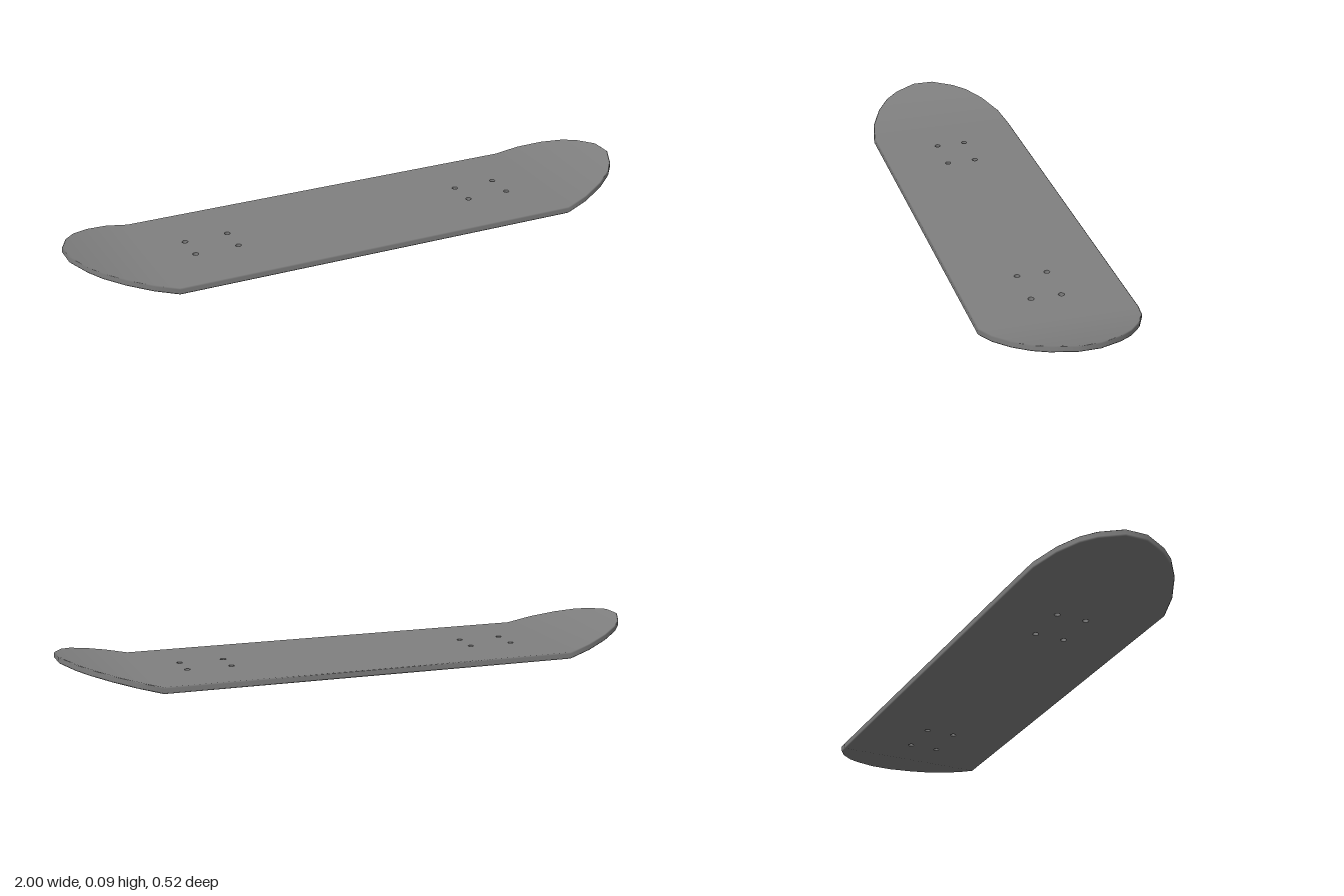
import * as THREE from 'three';
import { mergeGeometries } from 'three/addons/utils/BufferGeometryUtils.js';

const BEND = 0.71, HALF_WIDTH = 0.259, THICKNESS = 0.022, BEVEL = 0.004, SLOPE = 0.255;

// Height added by the kicked-up nose and tail
const lift = (x) => Math.max(0, Math.abs(x) - BEND) * SLOPE;

// Normal of the top (side 1) or bottom (side -1), easing smoothly into the kick
function faceNormal(x, side) {
  const tilt = -Math.sign(x) * lift(x) / (1 - BEND);
  return new THREE.Vector3(tilt, 1, 0).normalize().multiplyScalar(side).toArray();
}

// Outline of one rounded end as [x, z], from the +z side round to the -z side
const quarter = [[BEND, HALF_WIDTH], [0.79, 0.241], [0.87, 0.203], [0.93, 0.157], [0.965, 0.113], [1, 0.037]];
const rightEnd = [...quarter, ...quarter.map(([x, z]) => [x, -z]).reverse()];
const negate = (pts) => pts.map(([x, z]) => [-x, -z]);

// Pull an outline inwards, keeping the bend line in place
const inset = (pts, d) => pts.map(([x, z]) => [
  Math.sign(x) * (BEND + (Math.abs(x) - BEND) * (1 - d / (1 - BEND))),
  z * (1 - d / HALF_WIDTH),
]);

// Smooth band through closed rings, top to bottom.
// A ring with a side takes the normals of that face, the others point outwards.
function band(rings) {
  const pos = [], nor = [], index = [];
  const n = rings[0].pts.length;
  rings.forEach(({ pts, y, side }, r) => {
    pts.forEach(([x, z], i) => {
      const j = (i + 1) % n;
      const [x0, z0] = pts[(i + n - 1) % n], [x1, z1] = pts[j];
      const length = Math.hypot(x1 - x0, z1 - z0);
      pos.push(x, y + lift(x), z);
      nor.push(...(side ? faceNormal(x, side) : [(z0 - z1) / length, 0, (x1 - x0) / length]));
      if (r > 0) {
        const low = r * n, up = low - n;
        index.push(low + i, low + j, up + j, low + i, up + j, up + i);
      }
    });
  });
  const geo = new THREE.BufferGeometry();
  geo.setAttribute('position', new THREE.Float32BufferAttribute(pos, 3));
  geo.setAttribute('normal', new THREE.Float32BufferAttribute(nor, 3));
  return geo.setIndex(index);
}

// Flat or tilted sheet facing up (side 1) or down (side -1)
function sheet(pts, holes, y, side) {
  const toVec = ([x, z]) => new THREE.Vector2(x, -z);
  const shape = new THREE.Shape(pts.map(toVec));
  shape.holes = holes.map((h) => new THREE.Path(h.map(toVec)));
  const geo = new THREE.ShapeGeometry(shape).rotateX(-Math.PI / 2);
  const { position, normal } = geo.attributes;
  for (let i = 0; i < position.count; i++) {
    const x = position.getX(i);
    position.setY(i, y + lift(x));
    normal.setXYZ(i, ...faceNormal(x, side));
  }
  if (side < 0) geo.index.array.reverse();
  return geo;
}

export function createModel() {
  const group = new THREE.Group();
  group.name = 'skateboardDeck';
  const material = new THREE.MeshStandardMaterial({ color: 0x808080 });
  const add = (name, geo) => {
    const mesh = new THREE.Mesh(geo, material);
    mesh.name = name;
    group.add(mesh);
  };

  // Eight bolt holes, four for each truck
  const holes = [];
  for (const x of [-0.58, -0.43, 0.43, 0.58]) {
    for (const z of [-0.05, 0.05]) {
      holes.push(Array.from({ length: 12 }, (_, i) => {
        const a = (i / 12) * Math.PI * 2;
        return [x + 0.01 * Math.cos(a), z + 0.01 * Math.sin(a)];
      }));
    }
  }

  // Top and bottom faces: flat middle with holes, plus nose and tail
  const end = inset(rightEnd, BEVEL);
  const w = HALF_WIDTH - BEVEL;
  const middle = [[-BEND, w], [BEND, w], [BEND, -w], [-BEND, -w]];
  for (const [name, y, side] of [['topFace', THICKNESS, 1], ['bottomFace', 0, -1]]) {
    add(name, mergeGeometries([
      sheet(middle, holes, y, side),
      sheet(end, [], y, side),
      sheet(negate(end), [], y, side),
    ]));
  }

  // Rim, softly rounded into the top and bottom
  const outer = [...rightEnd, ...negate(rightEnd)];
  const inner = inset(outer, BEVEL);
  add('rim', band([
    { pts: inner, y: THICKNESS, side: 1 },
    { pts: outer, y: THICKNESS - BEVEL },
    { pts: outer, y: BEVEL },
    { pts: inner, y: 0, side: -1 },
  ]));

  // Inside walls of the bolt holes
  add('boltHoles', mergeGeometries(holes.map((h) => band([
    { pts: h, y: THICKNESS },
    { pts: h, y: 0 },
  ]))));

  return group;
}
